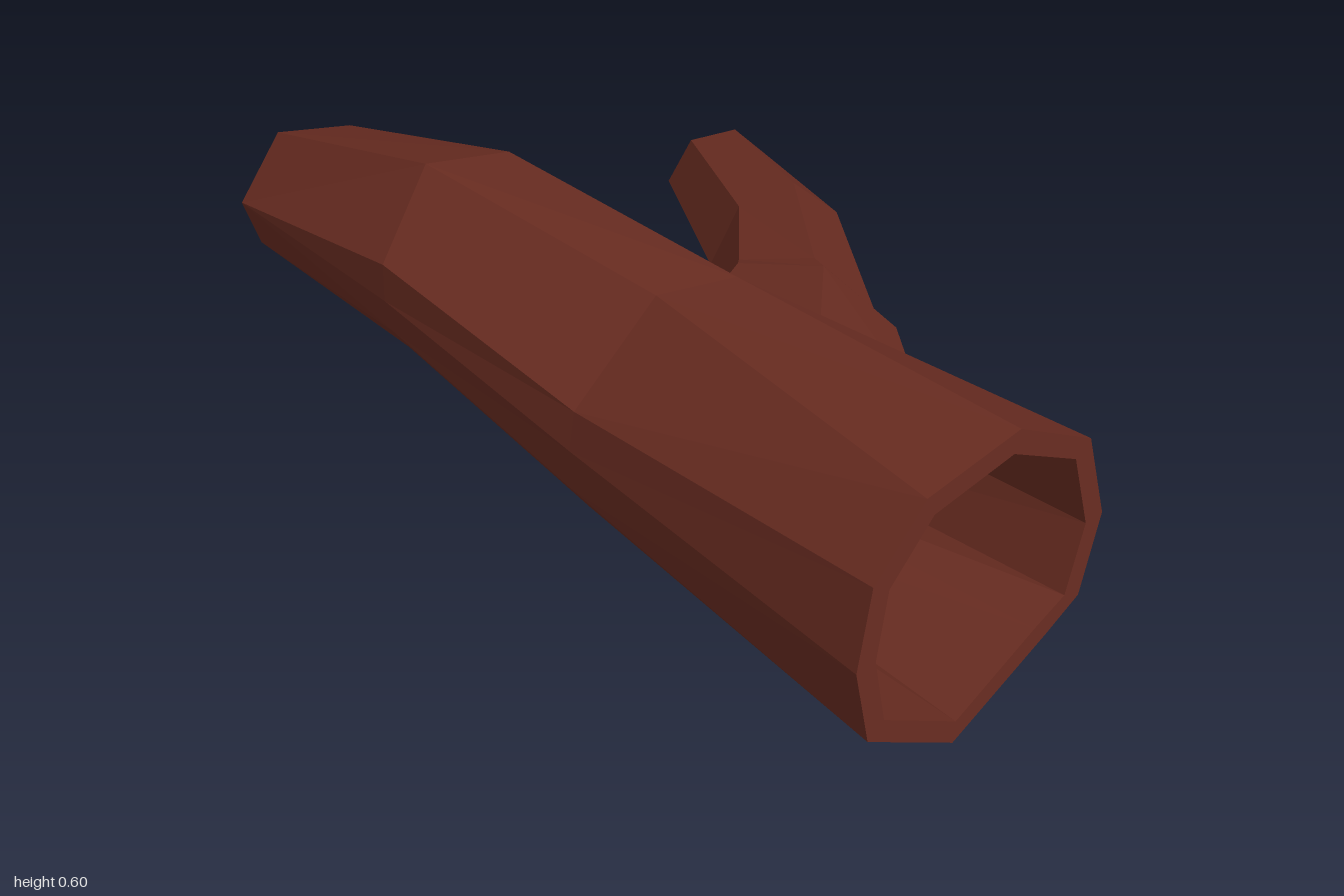
import * as THREE from 'three';

const bark = new THREE.MeshStandardMaterial({ color: 0x692c21 });
bark.name = 'reddish bark';

// Shrinks a ring towards its own centre by the wall thickness
function inset(ring, wall) {
  const c = new THREE.Vector3();
  ring.forEach((p) => c.addScaledVector(p, 1 / ring.length));
  return ring.map((p) => {
    const d = p.clone().sub(c);
    return d.setLength(d.length() - wall).add(c);
  });
}

// Hollow faceted tube: outer rings forward, inner rings back, joined by flat rims
function hollowTube(name, rings, wall) {
  const loop = [...rings, ...rings.map((r) => inset(r, wall)).reverse()];
  const pos = [];
  const n = rings[0].length;
  loop.forEach((ring, i) => {
    const next = loop[(i + 1) % loop.length];
    for (let j = 0; j < n; j++) {
      const k = (j + 1) % n;
      for (const p of [ring[j], next[j], next[k], ring[j], next[k], ring[k]]) pos.push(p.x, p.y, p.z);
    }
  });
  const geo = new THREE.BufferGeometry();
  geo.setAttribute('position', new THREE.Float32BufferAttribute(pos, 3));
  geo.computeVertexNormals(); // unshared corners give flat facets
  const mesh = new THREE.Mesh(geo, bark);
  mesh.name = name;
  return mesh;
}

// Trunk cross-sections as [z, y] corners, from the narrow end to the wide end;
// corners that coincide at an end let a ridge run out to a point
const trunkSections = [
  { x: (z, y) => -0.955 - 0.09 * z - 0.06 * y,
    pts: [[0.05, 0.375], [0, 0.32], [-0.01, 0.25], [0, 0.18], [0.05, 0.11], [0.2, 0.068], [0.31, 0.18], [0.342, 0.29], [0.342, 0.29], [0.342, 0.29], [0.23, 0.42]] },
  { x: (z, y) => (y < 0.14 ? -0.32 : y > 0.54 ? -0.48 : -0.42),
    pts: [[0.08, 0.53], [0, 0.43], [-0.01, 0.29], [0.01, 0.2], [0.08, 0.132], [0.26, 0.11], [0.375, 0.195], [0.412, 0.25], [0.428, 0.33], [0.425, 0.413], [0.25, 0.547]] },
  { x: (z, y) => (y < 0.1 ? 0.08 : y > 0.54 ? 0.28 : 0.18),
    pts: [[0.16, 0.563], [0.04, 0.45], [-0.01, 0.3], [0.037, 0.118], [0.11, 0.043], [0.26, 0.002], [0.455, 0.15], [0.492, 0.205], [0.5, 0.3], [0.485, 0.38], [0.27, 0.53]] },
  { x: (z, y) => 1.005 - 0.067 * z - 0.033 * y,
    pts: [[0.235, 0.6], [0.045, 0.49], [-0.005, 0.31], [0.045, 0.155], [0.13, 0.115], [0.37, 0.013], [0.585, 0.15], [0.585, 0.15], [0.615, 0.31], [0.58, 0.465], [0.46, 0.575]] },
];

// Branch rings: near side x, z; far side x, z; bottom y; top y; lean into the trunk
const branchSections = [
  [0.08, 0.04, 0.66, 0.04, 0.148, 0.54, 0.08],
  [0.05, 0.02, 0.42, -0.16, 0.143, 0.485, 0.01],
  [0.04, 0, 0.35, -0.18, 0.142, 0.47, 0],
  [-0.1, -0.18, 0, -0.475, 0.132, 0.428, 0],
  [-0.46, -0.43, -0.317, -0.622, 0.118, 0.36, 0],
];
const branchAngles = [17, 75, 125, 180, 235, 273, 308];

function branchRing([ax, az, bx, bz, y0, y1, lean]) {
  return branchAngles.map((degrees) => {
    const t = THREE.MathUtils.degToRad(degrees);
    const c = Math.cos(t), s = Math.sin(t);
    return new THREE.Vector3(
      (ax + bx) / 2 + ((bx - ax) / 2) * c,
      (y0 + y1) / 2 + ((y1 - y0) / 2) * s,
      (az + bz) / 2 + ((bz - az) / 2) * c + lean * Math.abs(s)
    );
  });
}

export function createModel() {
  const group = new THREE.Group();
  group.name = 'hollowLog';
  const trunk = trunkSections.map(({ x, pts }) => pts.map(([z, y]) => new THREE.Vector3(x(z, y), y, z)));
  group.add(hollowTube('trunk', trunk, 0.045));
  group.add(hollowTube('branch', branchSections.map(branchRing), 0.03));
  return group;
}
